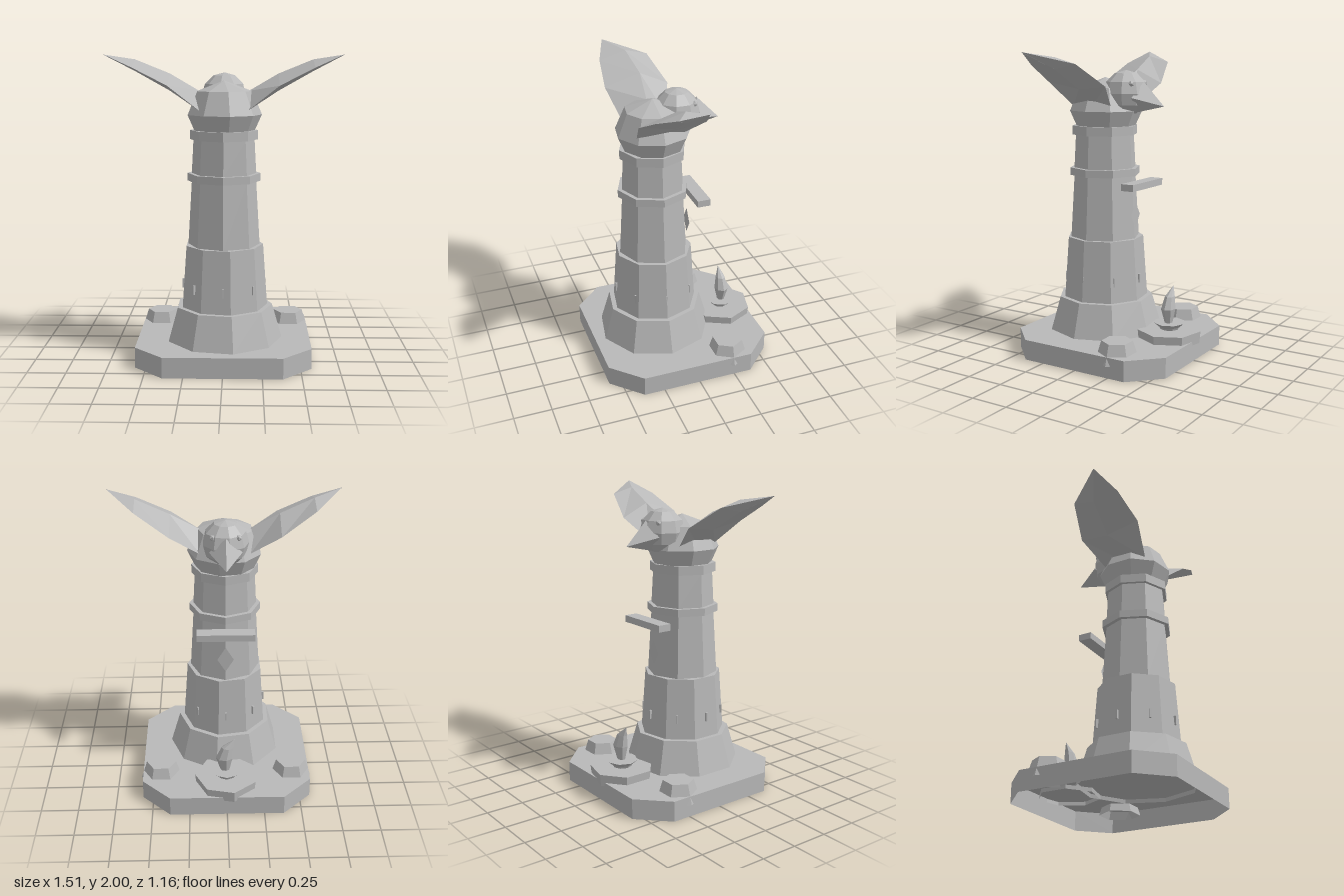
import * as THREE from 'three';

const stone = new THREE.MeshStandardMaterial({ color: 0xb8b8b8, flatShading: true, side: THREE.DoubleSide });
stone.name = 'pale stone grey';

// Skin a list of equal-length rings of [x, y, z]; optional caps at both ends
function loft(rings, capStart = false, capEnd = true) {
  const pos = [];
  const tri = (a, b, c) => pos.push(...a, ...b, ...c);
  const n = rings[0].length;
  for (let i = 0; i < rings.length - 1; i++) {
    for (let j = 0; j < n; j++) {
      const k = (j + 1) % n, lo = rings[i], hi = rings[i + 1];
      tri(lo[j], hi[j], lo[k]);
      tri(lo[k], hi[j], hi[k]);
    }
  }
  const first = rings[0], last = rings[rings.length - 1];
  for (let j = 1; j < n - 1; j++) {
    if (capEnd) tri(last[0], last[j + 1], last[j]);
    if (capStart) tri(first[0], first[j], first[j + 1]);
  }
  const g = new THREE.BufferGeometry();
  g.setAttribute('position', new THREE.Float32BufferAttribute(pos, 3));
  g.computeVertexNormals();
  return g;
}

// Regular ring with its first corner on +x
function ring(sides, r, y, cx = 0, cz = 0) {
  return Array.from({ length: sides }, (_, i) => {
    const a = (i / sides) * Math.PI * 2;
    return [cx + r * Math.cos(a), y, cz + r * Math.sin(a)];
  });
}

export function createModel() {
  const model = new THREE.Group();
  const add = (name, geometry, x = 0, y = 0, z = 0, parent = model) => {
    const m = new THREE.Mesh(geometry, stone);
    m.name = name;
    m.position.set(x, y, z);
    parent.add(m);
    return m;
  };
  // Faceted turned part from [radius, height] pairs
  const turned = (name, sides, profile, cx, cz, capStart) =>
    add(name, loft(profile.map(([r, y]) => ring(sides, r, y, cx, cz)), capStart));

  // Eight-cornered platform, open underneath
  const outline = [[0.57, -0.37], [0.57, 0.39], [0.38, 0.58], [-0.38, 0.58],
    [-0.57, 0.39], [-0.57, -0.37], [-0.38, -0.56], [0.38, -0.56]];
  add('platform', loft([0, 0.135].map((y) => outline.map(([x, z]) => [x, y, z]))));

  // Tower tiers and collars
  const tz = 0.13;
  turned('towerFoot', 9, [[0.39, 0.11], [0.385, 0.135], [0.32, 0.36]], 0, tz, false);
  turned('lowerTower', 9, [[0.287, 0.36], [0.258, 0.77]], 0, tz, false);
  turned('middleTower', 8, [[0.235, 0.77], [0.21, 1.19]], 0, tz, false);
  turned('middleCollar', 8, [[0.238, 1.19], [0.238, 1.24]], 0, tz, true);
  turned('upperTower', 8, [[0.21, 1.24], [0.198, 1.46]], 0, tz, false);
  turned('upperCollar', 8, [[0.22, 1.46], [0.22, 1.52]], 0, tz, true);

  // Slit windows around the lower tower
  for (let i = 0; i < 8; i++) {
    const a = (i / 8) * Math.PI * 2;
    const slit = add('slitWindow', new THREE.BoxGeometry(0.012, 0.06, 0.02),
      0.266 * Math.cos(a), 0.5, tz + 0.266 * Math.sin(a));
    slit.rotation.y = Math.PI / 2 - a;
  }

  // Perch and diamond plaque on the back
  add('perch', new THREE.BoxGeometry(0.38, 0.045, 0.09), 0, 1.14, -0.16);
  const diamond = new THREE.Shape([[0, -0.09], [0.055, 0], [0, 0.09], [-0.055, 0]]
    .map(([x, y]) => new THREE.Vector2(x, y)));
  const plaque = add('diamondPlaque', new THREE.ShapeGeometry(diamond), 0, 0.93, -0.11);
  plaque.rotation.y = Math.PI;

  // Bird body
  turned('birdBody', 9, [[0.2, 1.52], [0.245, 1.62], [0.18, 1.77], [0.005, 1.835]], 0, 0.125, true);

  // Head, beak and eyes, facing the back
  add('head', new THREE.SphereGeometry(0.15, 9, 6), 0, 1.735, -0.035);
  const beak = add('beak', new THREE.ConeGeometry(0.105, 0.19, 4), 0, 1.683, -0.23);
  beak.rotation.x = -Math.PI / 2 - 0.29;
  for (const s of [-1, 1]) {
    add('eye', new THREE.IcosahedronGeometry(0.022, 0), s * 0.08, 1.8, -0.125);
  }

  // Wings: diamond sections of front edge, underside, back edge and ridge
  const wingShape = loft([
    [[0.16, 1.65, -0.02], [0.16, 1.66, 0.12], [0.15, 1.65, 0.28], [0.16, 1.77, 0.11]],
    [[0.35, 1.79, -0.1], [0.35, 1.77, 0.1], [0.35, 1.81, 0.33], [0.35, 1.88, 0.09]],
    [[0.57, 1.93, -0.03], [0.57, 1.895, 0.12], [0.57, 1.92, 0.3], [0.57, 1.97, 0.12]],
    [[0.755, 2, 0.225], [0.755, 1.998, 0.226], [0.755, 2, 0.228], [0.755, 2, 0.226]],
  ], true);
  for (const s of [1, -1]) {
    add(s > 0 ? 'leftWing' : 'rightWing', wingShape).scale.x = s;
  }

  // Six-sided blocks at the back corners
  for (const s of [1, -1]) {
    turned('cornerBlock', 6, [[0.14, 0.08], [0.1, 0.21]], s * 0.445, -0.245, false);
  }

  // Brazier: plinth, bowl and flame
  const bz = -0.375;
  turned('brazierPlinth', 7, [[0.205, 0.11], [0.213, 0.19]], 0, bz, false);
  turned('brazierBowl', 8, [[0.06, 0.185], [0.07, 0.205], [0.105, 0.235]], 0, bz, true);
  const flame = [[0.03, 0.23, 0.01], [0.058, 0.33, 0.015], [0.04, 0.41, -0.005], [0.002, 0.47, -0.05]];
  add('flame', loft(flame.map(([r, y, x]) => ring(7, r, y, x, bz).map(([px, py, pz]) =>
    [px, py, bz + (pz - bz) * 0.8])), true));

  return model;
}
